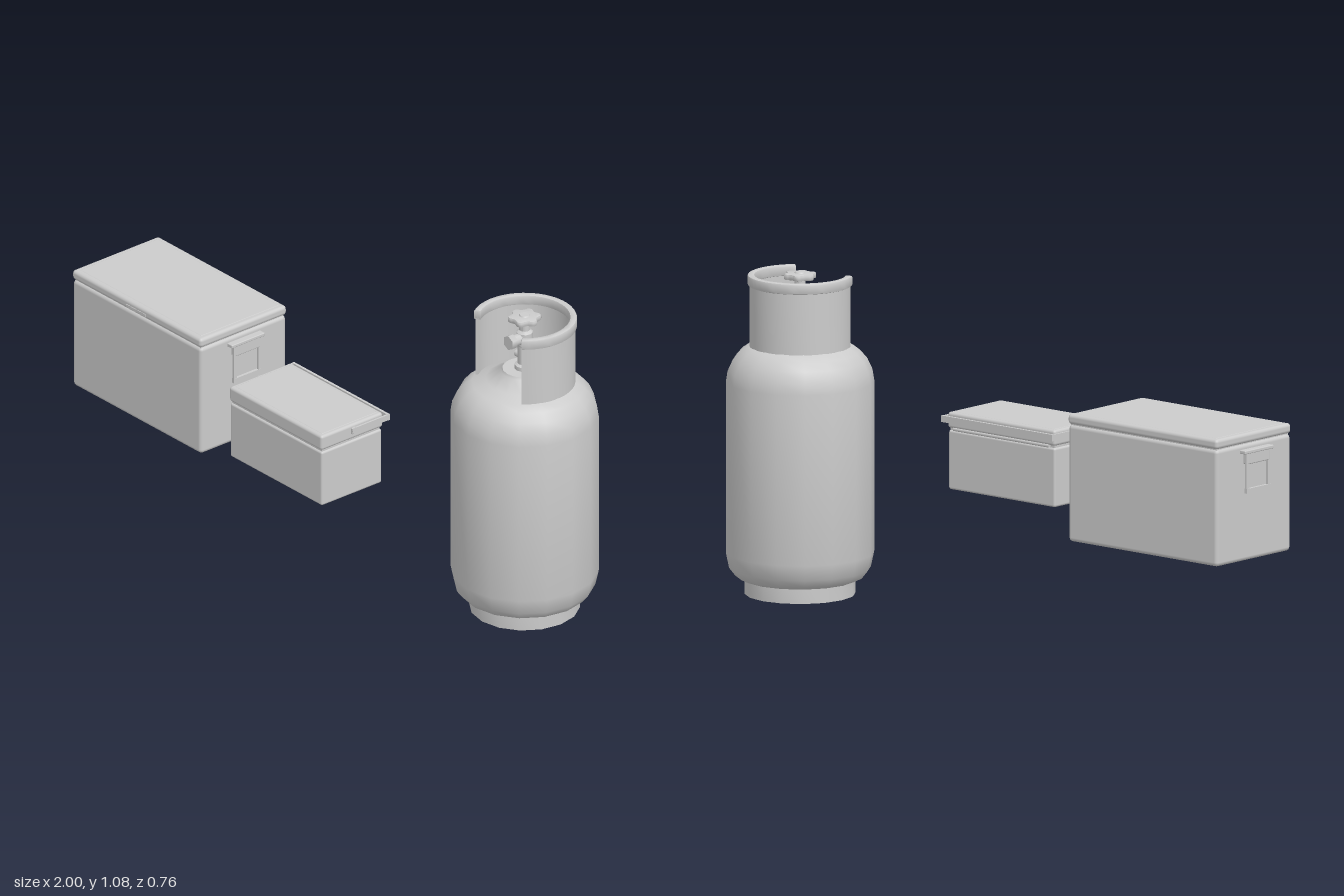
import * as THREE from 'three';
import { toCreasedNormals } from 'three/addons/utils/BufferGeometryUtils.js';
import { RoundedBoxGeometry } from 'three/addons/geometries/RoundedBoxGeometry.js';

const material = new THREE.MeshStandardMaterial({ color: 0xcccccc });
const doubleSided = new THREE.MeshStandardMaterial({ color: 0xcccccc, side: THREE.DoubleSide });

function add(parent, name, geometry, x = 0, y = 0, z = 0, mat = material) {
  const mesh = new THREE.Mesh(geometry, mat);
  mesh.name = name;
  mesh.position.set(x, y, z);
  parent.add(mesh);
  return mesh;
}

function group(parent, name, x, y, z) {
  const g = new THREE.Group();
  g.name = name;
  g.position.set(x, y, z);
  parent.add(g);
  return g;
}

const box = (w, h, d, r = 0) => r ? new RoundedBoxGeometry(w, h, d, 2, r) : new THREE.BoxGeometry(w, h, d);

// Lathe from [radius, height] pairs, bottom to top
function lathe(points, segments = 16) {
  const g = new THREE.LatheGeometry(points.map(p => new THREE.Vector2(...p)), segments);
  return toCreasedNormals(g, 0.75);
}

// Shape in the ground plane pushed upwards
function extrudeUp(shape, height, bevel = 0) {
  const g = new THREE.ExtrudeGeometry(shape, {
    depth: height - 2 * bevel, bevelEnabled: bevel > 0, bevelSize: bevel, bevelOffset: -bevel,
    bevelThickness: bevel, bevelSegments: 2, curveSegments: 16
  });
  g.rotateX(-Math.PI / 2).translate(0, bevel, 0);
  return toCreasedNormals(g, 0.75);
}

// Open ring seen from above, the gap facing the front
function arcShape(inner, outer) {
  const a = -44 * Math.PI / 180, b = 214 * Math.PI / 180;
  const s = new THREE.Shape();
  s.absarc(0, 0, outer, a, b, false);
  s.absarc(0, 0, inner, b, a, true);
  s.closePath();
  return s;
}

function largeCooler(parent) {
  const g = group(parent, 'largeCooler', -0.648, 0.3, 0.172);
  add(g, 'body', box(0.655, 0.395, 0.372, 0.014), 0, 0.1975, 0);
  add(g, 'lidSeam', box(0.64, 0.02, 0.358), 0, 0.392, 0);
  add(g, 'lid', box(0.657, 0.034, 0.376, 0.012), 0, 0.413, 0);
  add(g, 'lidPanel', box(0.62, 0.01, 0.34, 0.004), 0, 0.426, 0);
  add(g, 'lidGrip', box(0.1, 0.009, 0.006), 0, 0.409, 0.187);
  // Hanging side handles
  for (const s of [-1, 1]) {
    const h = group(g, s < 0 ? 'rightHandle' : 'leftHandle', s * 0.327, 0, 0);
    add(h, 'mount', box(0.022, 0.045, 0.11, 0.004), s * 0.011, 0.352, 0);
    add(h, 'mountCap', box(0.026, 0.012, 0.144, 0.003), s * 0.012, 0.372, 0);
    for (const t of [-1, 1]) add(h, 'arm', box(0.008, 0.14, 0.014), s * 0.017, 0.302, t * 0.053);
    add(h, 'grip', box(0.01, 0.016, 0.12), s * 0.017, 0.24, 0);
    add(h, 'backPlate', box(0.006, 0.11, 0.092), s * 0.002, 0.3, 0);
  }
}

function smallCooler(parent) {
  const g = group(parent, 'smallCooler', 0.085, 0.37, 0.247);
  add(g, 'body', box(0.468, 0.2, 0.262, 0.008), 0, 0.1, 0);
  add(g, 'lidSeam', box(0.456, 0.02, 0.25), 0, 0.203, 0);
  add(g, 'lid', box(0.472, 0.054, 0.268, 0.01), 0, 0.234, 0);
  add(g, 'lidPanel', box(0.444, 0.008, 0.24, 0.003), 0, 0.258, 0);
  // Carrying bail folded behind the lid
  const bail = group(g, 'bail', 0, 0.24, 0);
  add(bail, 'backBar', box(0.488, 0.022, 0.009), 0, 0, -0.151);
  for (const s of [-1, 1]) {
    add(bail, 'arm', box(0.007, 0.02, 0.162), s * 0.2405, 0, -0.074);
    add(bail, 'pivot', new THREE.CylinderGeometry(0.012, 0.012, 0.014, 10).rotateZ(Math.PI / 2), s * 0.238, 0, -0.006);
  }
  // Rear hinge
  add(g, 'hinge', new THREE.CylinderGeometry(0.006, 0.006, 0.42, 8).rotateZ(Math.PI / 2), 0, 0.205, -0.13);
}

function gasBottle(parent) {
  const g = group(parent, 'gasBottle', 0.75, 0, -0.135);
  add(g, 'footRing', lathe([[0.174, 0.055], [0.174, 0], [0.184, 0], [0.184, 0.06]]), 0, 0, 0, doubleSided);
  add(g, 'tank', lathe([
    [0, 0.05], [0.19, 0.05], [0.215, 0.062], [0.235, 0.088], [0.246, 0.14], [0.246, 0.715],
    [0.24, 0.753], [0.223, 0.79], [0.2, 0.817], [0.175, 0.834], [0.13, 0.848],
    [0.078, 0.877], [0.074, 0.886], [0, 0.886]
  ]));
  // Guard collar with thickened rim
  add(g, 'collar', extrudeUp(arcShape(0.158, 0.168), 0.245), 0, 0.825, 0);
  add(g, 'collarRim', extrudeUp(arcShape(0.15, 0.174), 0.036, 0.006), 0, 1.04, 0);

  // Valve
  const v = group(g, 'valve', 0, 0, 0);
  add(v, 'stem', lathe([
    [0.034, 0.884], [0.034, 0.9], [0.023, 0.905], [0.023, 0.97], [0.028, 0.975],
    [0.028, 1.02], [0.018, 1.028], [0.018, 1.068]
  ], 12));
  add(v, 'outlet', new THREE.CylinderGeometry(0.02, 0.02, 0.05, 12).rotateX(Math.PI / 2), 0, 1.0, 0.045);
  add(v, 'outletNut', new THREE.CylinderGeometry(0.026, 0.026, 0.022, 6).rotateX(Math.PI / 2), 0, 1.0, 0.06);
  add(v, 'reliefPlug', new THREE.CylinderGeometry(0.012, 0.012, 0.03, 8).rotateZ(Math.PI / 2), -0.026, 0.925, 0);

  // Lobed hand wheel
  const lobes = [];
  for (let i = 0; i < 48; i++) {
    const a = i / 48 * Math.PI * 2, r = 0.05 + 0.006 * Math.cos(6 * a);
    lobes.push(new THREE.Vector2(r * Math.cos(a), r * Math.sin(a)));
  }
  add(v, 'handWheel', extrudeUp(new THREE.Shape(lobes), 0.02, 0.005), 0, 1.06, 0);
  add(v, 'wheelHub', new THREE.CylinderGeometry(0.016, 0.02, 0.006, 12), 0, 1.081, 0);
}

export function createModel() {
  const model = new THREE.Group();
  model.name = 'campingSupplies';
  largeCooler(model);
  smallCooler(model);
  gasBottle(model);
  return model;
}
